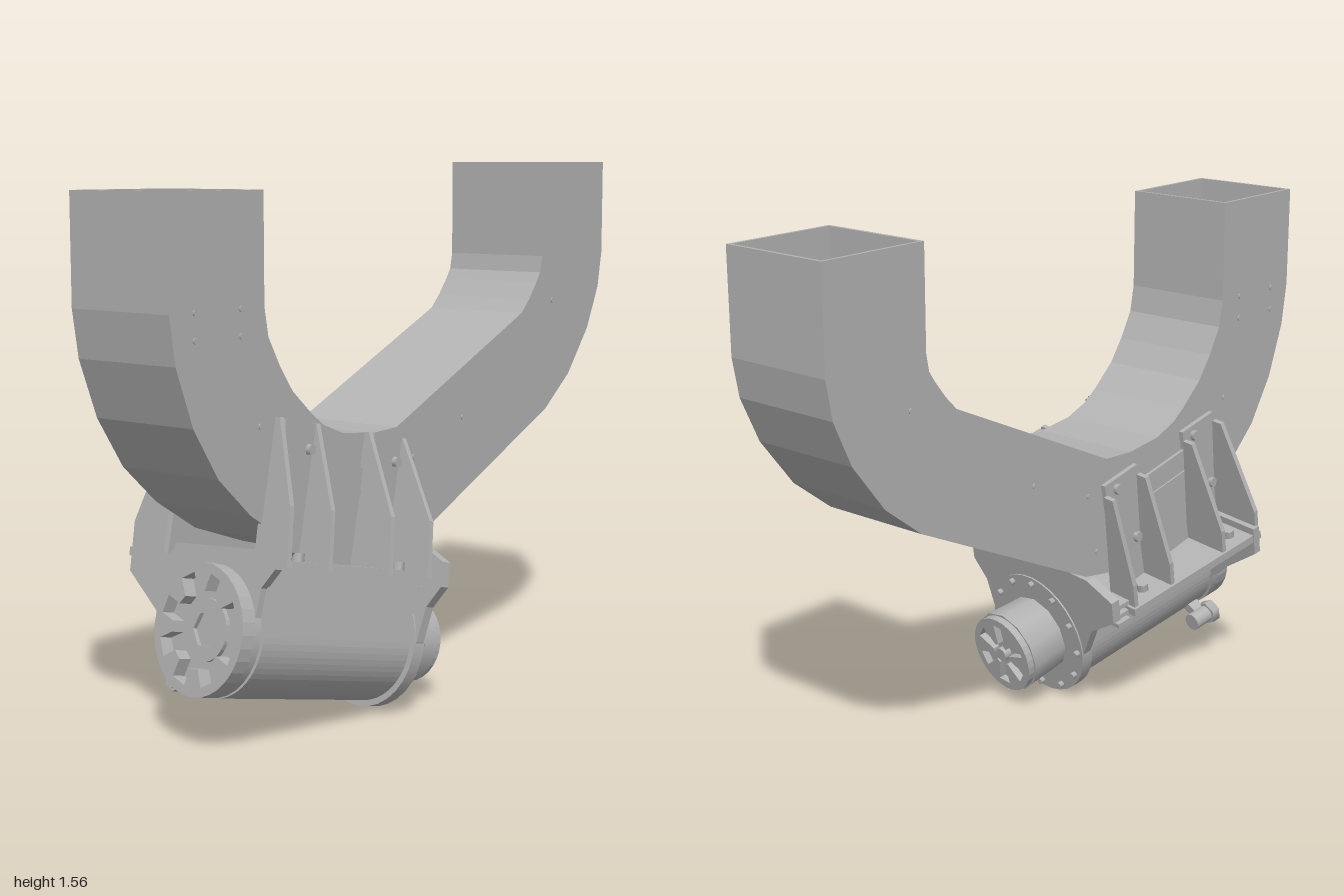
import * as THREE from 'three';

const gray = new THREE.MeshStandardMaterial({ color: 0xb2b2b2 });
gray.name = 'cast gray';

function add(parent, name, geo, x = 0, y = 0, z = 0) {
  const m = new THREE.Mesh(geo, gray);
  m.name = name;
  m.position.set(x, y, z);
  parent.add(m);
  return m;
}
const box = (w, h, d) => new THREE.BoxGeometry(w, h, d);
const zCylinder = (r1, r2, len, n = 24) => new THREE.CylinderGeometry(r1, r2, len, n).rotateX(Math.PI / 2);
const polygon = (pts) => new THREE.Shape(pts.map((p) => new THREE.Vector2(p[0], p[1])));
const slab = (shape, depth) => new THREE.ExtrudeGeometry(shape, { depth, bevelEnabled: false, curveSegments: 16 });
// profile in (z, y), extruded across x from x0 to x0 + width
const zySlab = (pts, x0, width) =>
  slab(polygon(pts), width).rotateY(-Math.PI / 2).translate(x0 + width, 0, 0);

const AX = 0.045, AY = -0.045; // motor axis within the tilted mount

// ring whose bore has radial notches
function notchedRing(outer, bore, notch, count, depth) {
  const s = new THREE.Shape();
  s.absarc(0, 0, outer, 0, Math.PI * 2);
  const pts = [];
  for (let i = 0; i < count; i++) {
    const a = ((i + 0.5) / count) * Math.PI * 2, w = (Math.PI / count) * 0.55;
    [[-w * 1.15, bore], [-w * 0.8, notch], [w * 0.8, notch], [w * 1.15, bore]].forEach(([d, r]) =>
      pts.push(new THREE.Vector2(Math.cos(a + d) * r, Math.sin(a + d) * r)));
  }
  s.holes.push(new THREE.Path(pts));
  return slab(s, depth);
}

function buildDuct(root) {
  const duct = new THREE.Group();
  duct.name = 'squareDuct';
  root.add(duct);
  // paired stations: lower edge and upper edge, front opening to back opening
  const low = [[1, 1.49], [1, 1.19], [0.98, 1.06], [0.92, 0.9], [0.83, 0.76], [0.71, 0.65], [0.56, 0.555],
    [0.36, 0.485], [0.16, 0.45], [0, 0.475], [-0.68, 0.79], [-0.81, 0.89], [-0.92, 1.03], [-0.98, 1.16], [-1, 1.27], [-1, 1.56]];
  const up = [[0.65, 1.49], [0.65, 1.19], [0.635, 1.11], [0.59, 1.03], [0.54, 0.96], [0.46, 0.89], [0.41, 0.855],
    [0.33, 0.825], [0.2, 0.81], [0.09, 0.815], [-0.54, 1.1], [-0.58, 1.14], [-0.62, 1.19], [-0.64, 1.22], [-0.65, 1.27], [-0.65, 1.56]];
  const inset = (a, b) => a.map((p, i) => [p[0] + (b[i][0] - p[0]) * 0.03, p[1] + (b[i][1] - p[1]) * 0.03]);
  const strip = (a, b) => [...a, ...b.slice().reverse()];
  add(duct, 'ductLeftWall', zySlab(strip(low, up), 0.145, 0.01));
  add(duct, 'ductRightWall', zySlab(strip(low, up), -0.19, 0.01));
  add(duct, 'ductLowerWall', zySlab(strip(low, inset(low, up)), -0.18, 0.325));
  add(duct, 'ductUpperWall', zySlab(strip(up, inset(up, low)), -0.18, 0.325));
  // rivets on both side walls
  const rivets = [[0.91, 1.19], [0.91, 1.12], [0.74, 1.19], [0.74, 1.12], [0.67, 0.88], [0.01, 0.72],
    [0.05, 0.54], [-0.23, 0.81], [-0.71, 1.13]];
  for (const [z, y] of rivets)
    for (const x of [0.155, -0.19])
      add(duct, 'rivet', new THREE.CylinderGeometry(0.008, 0.008, 0.008, 8).rotateZ(Math.PI / 2), x, y, z);
}

function buildMount(root) {
  // side pads lie flat on the duct
  const pads = new THREE.Group();
  pads.name = 'ductPads';
  pads.position.set(0, 0.3, 0.4);
  pads.rotation.x = -0.21;
  root.add(pads);
  for (const [x, s, top] of [[0.162, 1, 0.54], [-0.197, -1, 0.5]]) {
    for (const u of [0.225, -0.158]) {
      add(pads, 'pad', box(0.016, top - 0.14, 0.155), x, (top + 0.14) / 2, u);
      for (const [v, du] of [[0.47, -0.03], [0.28, 0.03]])
        add(pads, 'padBolt', new THREE.CylinderGeometry(0.016, 0.016, 0.016, 6).rotateZ(Math.PI / 2), x + s * 0.014, v, u + du);
    }
    add(pads, 'middlePad', box(0.01, 0.3, 0.23), x, 0.29, 0.035);
    add(pads, 'middleStrip', box(0.02, 0.012, 0.23), x, 0.37, 0.035);
  }

  const mount = new THREE.Group();
  mount.name = 'motorMount';
  mount.position.set(0, 0.3, 0.4);
  mount.rotation.set(-0.21, -0.12, 0.06);
  root.add(mount);
  // floor and triangular gussets
  add(mount, 'mountFloor', box(0.645, 0.025, 0.56), -0.005, 0.145, 0.03);
  for (const u of [0.3, 0.15, -0.08, -0.235]) {
    const r = 0.165 + 0.12 * u, l = -0.2 + 0.12 * u;
    add(mount, 'leftGusset', slab(polygon([[r - 0.01, 0.14], [0.32, 0.14], [0.31, 0.3], [r + 0.04, 0.53], [r, 0.53]]), 0.015), 0, 0, u - 0.007);
    add(mount, 'rightGusset', slab(polygon([[l + 0.01, 0.14], [-0.32, 0.14], [-0.32, 0.23], [l - 0.035, 0.5], [l, 0.5]]), 0.015), 0, 0, u - 0.007);
  }
  for (const s of [1, -1])
    for (const u of [0.225, -0.158])
      add(mount, 'floorBolt', new THREE.CylinderGeometry(0.018, 0.018, 0.03, 6), s * 0.27, 0.165, u);
  // front and rear cradle plates
  add(mount, 'frontPlate', slab(polygon([[-0.33, 0.18], [0.31, 0.18], [0.22, 0.08], [0.2, -0.05],
    [0.12, -0.14], [-0.04, -0.14], [-0.15, -0.06], [-0.2, -0.01], [-0.33, 0.09]]), 0.025), 0, 0, 0.275);
  add(mount, 'rearPlate', slab(polygon([[-0.3, 0.2], [-0.2, 0.24], [0.22, 0.24], [0.32, 0.19], [0.32, 0.12], [0.27, 0.06],
    [0.245, -0.04], [0.2, -0.14], [-0.11, -0.14], [-0.155, -0.04], [-0.2, 0.06], [-0.3, 0.13]]), 0.03), 0, 0, -0.315);
  // grille bars on the rear wings
  for (const s of [1, -1])
    for (let i = 0; i < 3; i++)
      add(mount, 'grilleBar', box(0.07, 0.014, 0.05), s * 0.265, 0.11 + i * 0.03, -0.27);

  buildMotor(mount);
}

function buildMotor(mount) {
  const motor = new THREE.Group();
  motor.name = 'motor';
  motor.position.set(AX, AY, 0);
  mount.add(motor);
  // arched housing: round below, straight sided up to the floor
  const arch = new THREE.Shape();
  arch.moveTo(0.18, 0.185);
  arch.lineTo(-0.18, 0.185);
  arch.lineTo(-0.18, 0);
  arch.absarc(0, 0, 0.18, Math.PI, Math.PI * 2, false);
  add(motor, 'housing', slab(arch, 0.58), 0, 0, -0.3);
  add(motor, 'rearFlange', zCylinder(0.198, 0.198, 0.04, 32), 0, 0, -0.3);
  for (let i = 0; i < 12; i++) {
    const a = (i / 12) * Math.PI * 2;
    add(motor, 'flangeBolt', zCylinder(0.011, 0.011, 0.02, 6), Math.cos(a) * 0.178, Math.sin(a) * 0.178, -0.325);
  }
  // front cap with notched ring, bolts and hexagonal socket
  add(motor, 'frontCap', zCylinder(0.18, 0.18, 0.03, 32), -0.01, 0, 0.29);
  add(motor, 'frontRing', notchedRing(0.18, 0.105, 0.155, 8, 0.045), -0.01, 0, 0.3);
  const socket = new THREE.Shape();
  socket.absarc(0, 0, 0.085, 0, Math.PI * 2);
  const hex = [];
  for (let i = 0; i < 6; i++) hex.push(new THREE.Vector2(Math.cos(i * Math.PI / 3) * 0.05, Math.sin(i * Math.PI / 3) * 0.05));
  socket.holes.push(new THREE.Path(hex));
  add(motor, 'hexSocket', slab(socket, 0.014), -0.01, 0, 0.304);
  for (let i = 0; i < 4; i++) {
    const a = (i * Math.PI) / 2;
    add(motor, 'capLug', box(0.05, 0.022, 0.02), -0.01 + Math.cos(a) * 0.13, Math.sin(a) * 0.13, 0.343).rotation.z = a;
  }
  // rear hub
  add(motor, 'rearHub', zCylinder(0.122, 0.13, 0.14, 12), 0, 0, -0.38);
  add(motor, 'rearHubRing', notchedRing(0.122, 0.035, 0.1, 6, 0.022), 0, 0, -0.472);
  add(motor, 'rearHubCenter', zCylinder(0.022, 0.022, 0.03, 12), 0, 0, -0.46);
  // cable fitting at the lower right
  const fitting = new THREE.Group();
  fitting.name = 'cableFitting';
  fitting.position.set(-0.185, -0.145, 0.22);
  motor.add(fitting);
  add(fitting, 'fittingArm', box(0.11, 0.03, 0.04), 0.05, 0.025, 0).rotation.z = 0.5;
  add(fitting, 'fittingBody', zCylinder(0.028, 0.028, 0.1, 12));
  add(fitting, 'fittingNut', zCylinder(0.038, 0.038, 0.03, 6), 0, 0, 0.03);
}

export function createModel() {
  const root = new THREE.Group();
  root.name = 'ductWithMotor';
  buildDuct(root);
  buildMount(root);
  return root;
}
